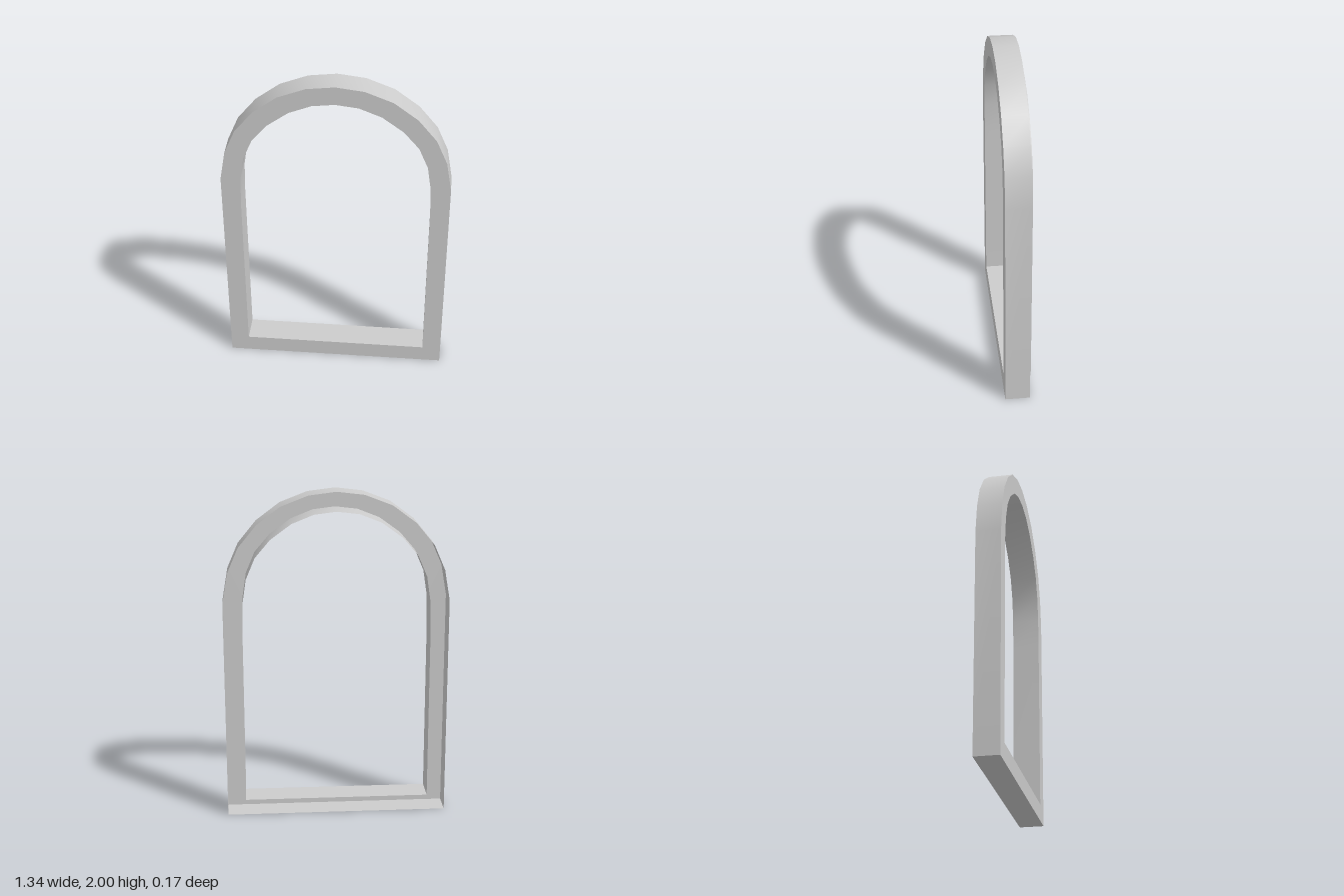
import * as THREE from 'three';
import { toCreasedNormals } from 'three/addons/utils/BufferGeometryUtils.js';

const FRONT = 0.083;
const material = new THREE.MeshStandardMaterial({ color: 0xcccccc, side: THREE.DoubleSide });

// Mirror the right half of an arch (bottom to crown) into a counter-clockwise loop
function archLoop(half) {
  const right = half.map(([x, y]) => new THREE.Vector2(x, y));
  const left = half.slice(0, -1).reverse().map(([x, y]) => new THREE.Vector2(-x, y));
  return [...right, ...left];
}

// Thin wall following a closed loop from the front plane to zBack
function wall(name, loop, zBack) {
  const positions = [];
  const indices = [];
  loop.forEach((p, i) => {
    positions.push(p.x, p.y, FRONT, p.x, p.y, zBack);
    const a = 2 * i;
    const b = 2 * ((i + 1) % loop.length);
    indices.push(a, a + 1, b + 1, a, b + 1, b);
  });
  const geometry = new THREE.BufferGeometry();
  geometry.setAttribute('position', new THREE.Float32BufferAttribute(positions, 3));
  geometry.setIndex(indices);
  const mesh = new THREE.Mesh(toCreasedNormals(geometry, Math.PI / 6), material);
  mesh.name = name;
  return mesh;
}

export function createModel() {
  const group = new THREE.Group();
  group.name = 'archedWindowFrame';

  const outer = archLoop([
    [0.67, 0], [0.67, 1.345], [0.638, 1.53], [0.573, 1.68],
    [0.465, 1.812], [0.325, 1.917], [0.163, 1.98], [0, 2],
  ]);
  const inner = archLoop([
    [0.558, 0.105], [0.558, 1.155], [0.553, 1.345], [0.53, 1.496], [0.476, 1.623],
    [0.386, 1.729], [0.262, 1.82], [0.132, 1.872], [0, 1.888],
  ]);

  // Flat front face with the arched opening
  const shape = new THREE.Shape(outer);
  shape.holes.push(new THREE.Path(inner));
  const face = new THREE.Mesh(new THREE.ShapeGeometry(shape), material);
  face.position.z = FRONT;
  face.name = 'frontFace';

  // Outer rim and slightly deeper opening lining; the channel between is open at the back
  group.add(
    face,
    wall('outerRim', outer, -0.065),
    wall('openingLining', [...inner].reverse(), -0.083),
  );
  return group;
}
